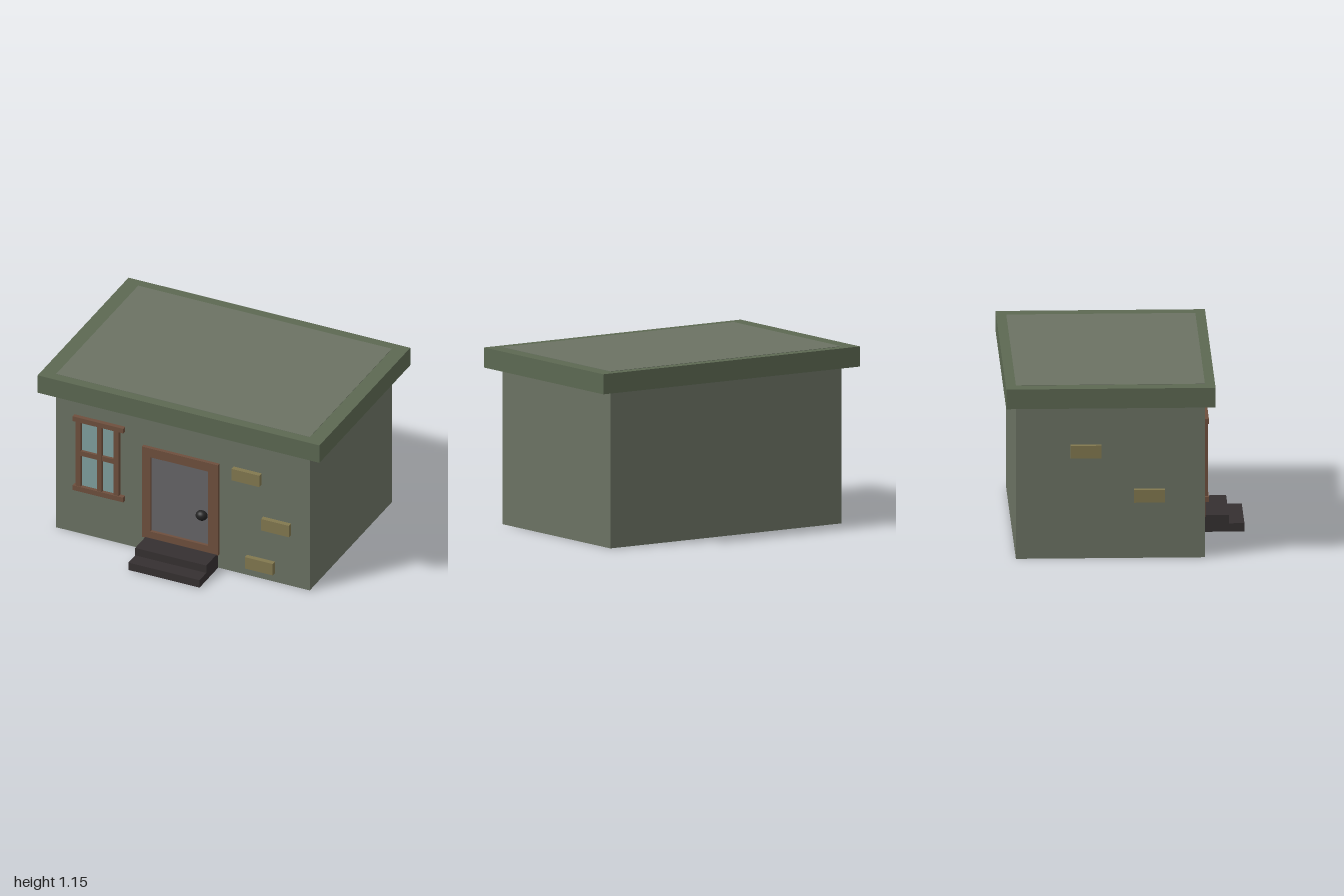
import * as THREE from 'three';

const mat = (color) => new THREE.MeshStandardMaterial({ color });

export function createModel() {
  const house = new THREE.Group();
  house.name = 'house';
  const wall = mat(0x6b7263), trim = mat(0x5c6852), wood = mat(0x6e4f3d), brick = mat(0x82784f);
  const stone = mat(0x353031), doorGrey = mat(0x666467), glass = mat(0x7f9f9e), black = mat(0x222222);

  const add = (name, geometry, material, parent = house) => {
    const mesh = new THREE.Mesh(geometry, material);
    mesh.name = name;
    parent.add(mesh);
    return mesh;
  };
  // Box given by its limits on each axis
  const box = (name, [x0, x1], [y0, y1], [z0, z1], material, parent) => {
    const mesh = add(name, new THREE.BoxGeometry(x1 - x0, y1 - y0, z1 - z0), material, parent);
    mesh.position.set((x0 + x1) / 2, (y0 + y1) / 2, (z0 + z1) / 2);
    return mesh;
  };
  const group = (name) => {
    const g = new THREE.Group();
    g.name = name;
    house.add(g);
    return g;
  };
  // Rectangle outline, counter-clockwise
  const rect = (Type, x0, x1, y0, y1) => new Type([[x0, y0], [x1, y0], [x1, y1], [x0, y1]]
    .map(([x, y]) => new THREE.Vector2(x, y)));

  // Walls, with the flat roof deck just proud of the overhanging rim
  box('walls', [-0.9, 0.9], [0, 1.147], [-0.71, 0.5], wall);
  const rimShape = rect(THREE.Shape, -1, 1, -0.565, 0.775);
  rimShape.holes.push(rect(THREE.Path, -0.9, 0.9, -0.5, 0.71));
  const rim = add('roofRim', new THREE.ExtrudeGeometry(rimShape, { depth: 0.13, bevelEnabled: false }), trim);
  rim.rotation.x = -Math.PI / 2;
  rim.position.y = 1.015;

  // Door: frame with opening, panel and knob
  const door = group('door');
  const frameShape = rect(THREE.Shape, -0.28, 0.26, 0.105, 0.78);
  frameShape.holes.push(rect(THREE.Path, -0.22, 0.19, 0.16, 0.715));
  add('doorFrame', new THREE.ExtrudeGeometry(frameShape, { depth: 0.03, bevelEnabled: false }), wood, door)
    .position.z = 0.495;
  box('doorPanel', [-0.22, 0.19], [0.16, 0.715], [0.48, 0.505], doorGrey, door);
  const knob = add('doorKnob', new THREE.SphereGeometry(0.04, 24, 16), black, door);
  knob.scale.set(1, 0.87, 0.87);
  knob.position.set(0.14, 0.37, 0.515);

  // Window: panes, uprights, middle rail, lintel and sill
  const win = group('window');
  box('windowGlass', [-0.73, -0.465], [0.35, 0.86], [0.48, 0.505], glass, win);
  for (const x of [-0.75, -0.6, -0.48]) {
    box('windowUpright', [x, x + 0.035], [0.365, 0.845], [0.49, 0.525], wood, win);
  }
  box('windowRail', [-0.715, -0.48], [0.595, 0.63], [0.49, 0.523], wood, win);
  for (const [name, y] of [['windowLintel', 0.845], ['windowSill', 0.33]]) {
    box(name, [-0.77, -0.41], [y, y + 0.035], [0.49, 0.53], wood, win);
  }

  // Front steps
  box('lowerStep', [-0.255, 0.25], [0, 0.055], [0.49, 0.775], stone);
  box('upperStep', [-0.255, 0.25], [0.055, 0.11], [0.49, 0.675], stone);

  // Exposed bricks on the front and right walls
  const bricks = group('bricks');
  for (const [x, y] of [[0.36, 0.7], [0.57, 0.38], [0.455, 0.065]]) {
    box('frontBrick', [x, x + 0.198], [y, y + 0.085], [0.48, 0.533], brick, bricks);
  }
  for (const [z, y] of [[-0.36, 0.668], [0.045, 0.373]]) {
    box('sideBrick', [-0.935, -0.88], [y, y + 0.084], [z, z + 0.198], brick, bricks);
  }
  return house;
}
